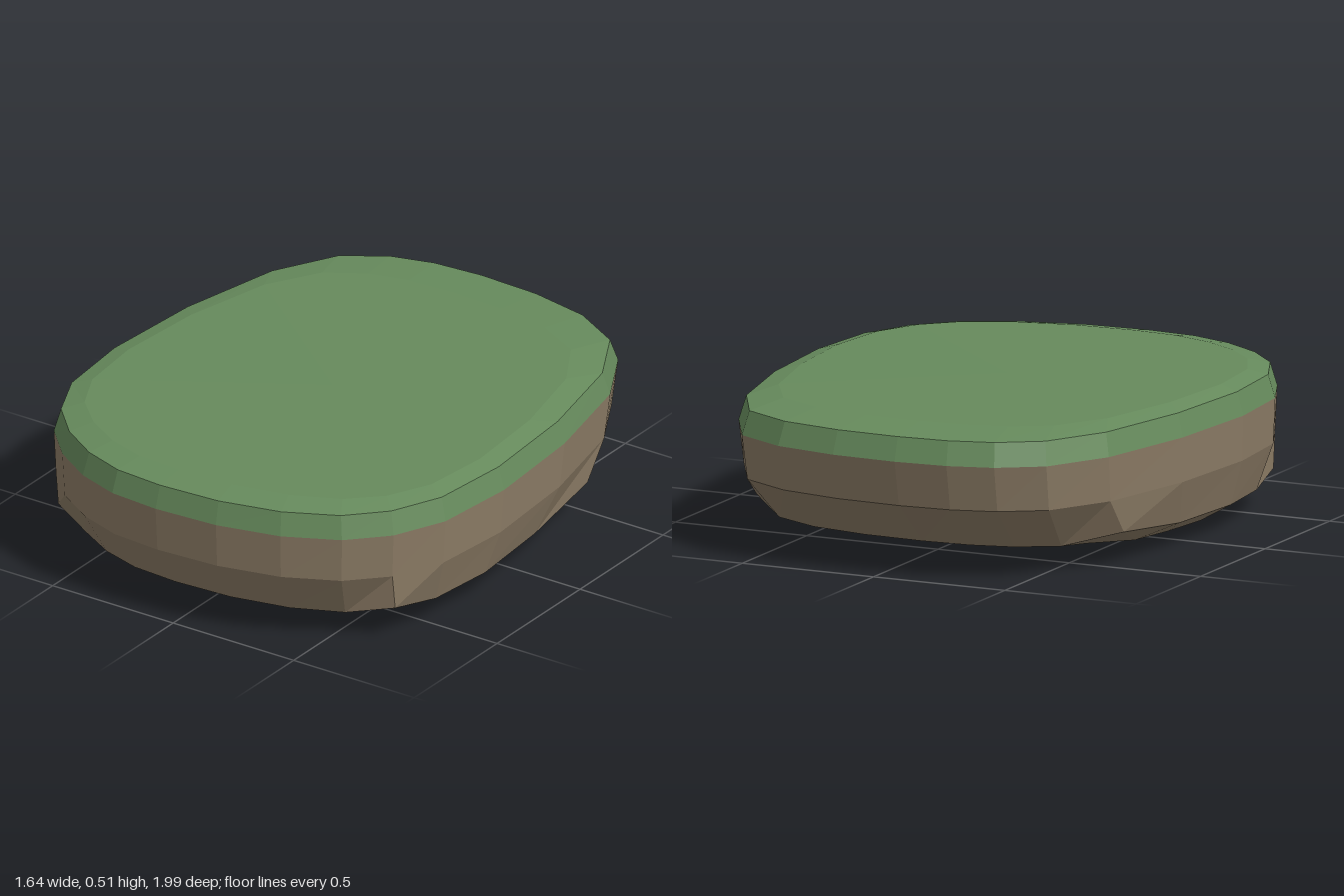
import * as THREE from 'three';

// Right half of the widest outline as [x, z], back to front
const RIGHT = [[0.16, -0.99], [0.39, -0.945], [0.58, -0.84], [0.705, -0.61], [0.79, -0.21], [0.82, 0.2],
  [0.79, 0.51], [0.705, 0.7], [0.58, 0.83], [0.39, 0.925], [0.16, 0.98]];
// Left half, front to back, with slightly uneven ends
const LEFT = [[-0.08, 0.995], [-0.27, 0.98], [-0.43, 0.925], [-0.58, 0.83], [-0.705, 0.7], [-0.79, 0.51],
  [-0.82, 0.2], [-0.79, -0.21], [-0.705, -0.61], [-0.58, -0.84], [-0.43, -0.94], [-0.27, -0.985], [-0.08, -1]];
const OUTLINE = [...RIGHT, ...LEFT];

// Outline rescaled to a half width and a z range; corners can be pushed out and lifted
function ring(y, halfWidth, back, front, push = 1, lift = 0) {
  const mid = (front + back) / 2, half = (front - back) / 2;
  return OUTLINE.map(([x, z]) => {
    const corner = Math.abs(Math.abs(x) - 0.705) < 0.01;
    const k = corner ? push : 1;
    return [x / 0.82 * halfWidth * k, y + (corner ? lift : 0), mid + z * half * k];
  });
}

// Skin from rings listed top to bottom, closed by optional end points
function skin(name, rings, material, top, bottom) {
  const pos = [];
  const tri = (a, b, c) => pos.push(...a, ...b, ...c);
  const n = OUTLINE.length;
  for (let i = 0; i < n; i++) {
    const j = (i + 1) % n;
    for (let r = 0; r < rings.length - 1; r++) {
      const u = rings[r], l = rings[r + 1];
      tri(l[j], l[i], u[i]);
      tri(l[j], u[i], u[j]);
    }
    if (top) tri(top, rings[0][j], rings[0][i]);
    const last = rings[rings.length - 1];
    if (bottom) tri(bottom, last[i], last[j]);
  }
  const geometry = new THREE.BufferGeometry();
  geometry.setAttribute('position', new THREE.Float32BufferAttribute(pos, 3));
  geometry.computeVertexNormals(); // unshared corners give flat facets
  const mesh = new THREE.Mesh(geometry, material);
  mesh.name = name;
  return mesh;
}

export function createModel() {
  const grass = new THREE.MeshStandardMaterial({ color: 0x668a5c });
  grass.name = 'grass green';
  const stone = new THREE.MeshStandardMaterial({ color: 0x8b7b65 });
  stone.name = 'earth brown';

  const seam = ring(0.41, 0.82, -1, 0.995);
  const group = new THREE.Group();
  group.name = 'mossyStone';

  // Green cap with a narrow bevelled rim
  group.add(skin('grassTop', [
    ring(0.51, 0.73, -0.78, 0.87),
    ring(0.492, 0.797, -0.97, 0.972),
    seam,
  ], grass, [0, 0.512, 0.04]));

  // Rounded earth body, undercut more strongly at the back
  group.add(skin('earthBase', [
    seam,
    ring(0.25, 0.812, -0.965, 0.985),
    ring(0.088, 0.76, -0.77, 0.885, 1.07, 0.035),
    ring(0.015, 0.63, -0.33, 0.64, 1.08, 0.008),
    ring(0.003, 0.42, -0.1, 0.42),
  ], stone, null, [0, 0, 0.17]));

  return group;
}
